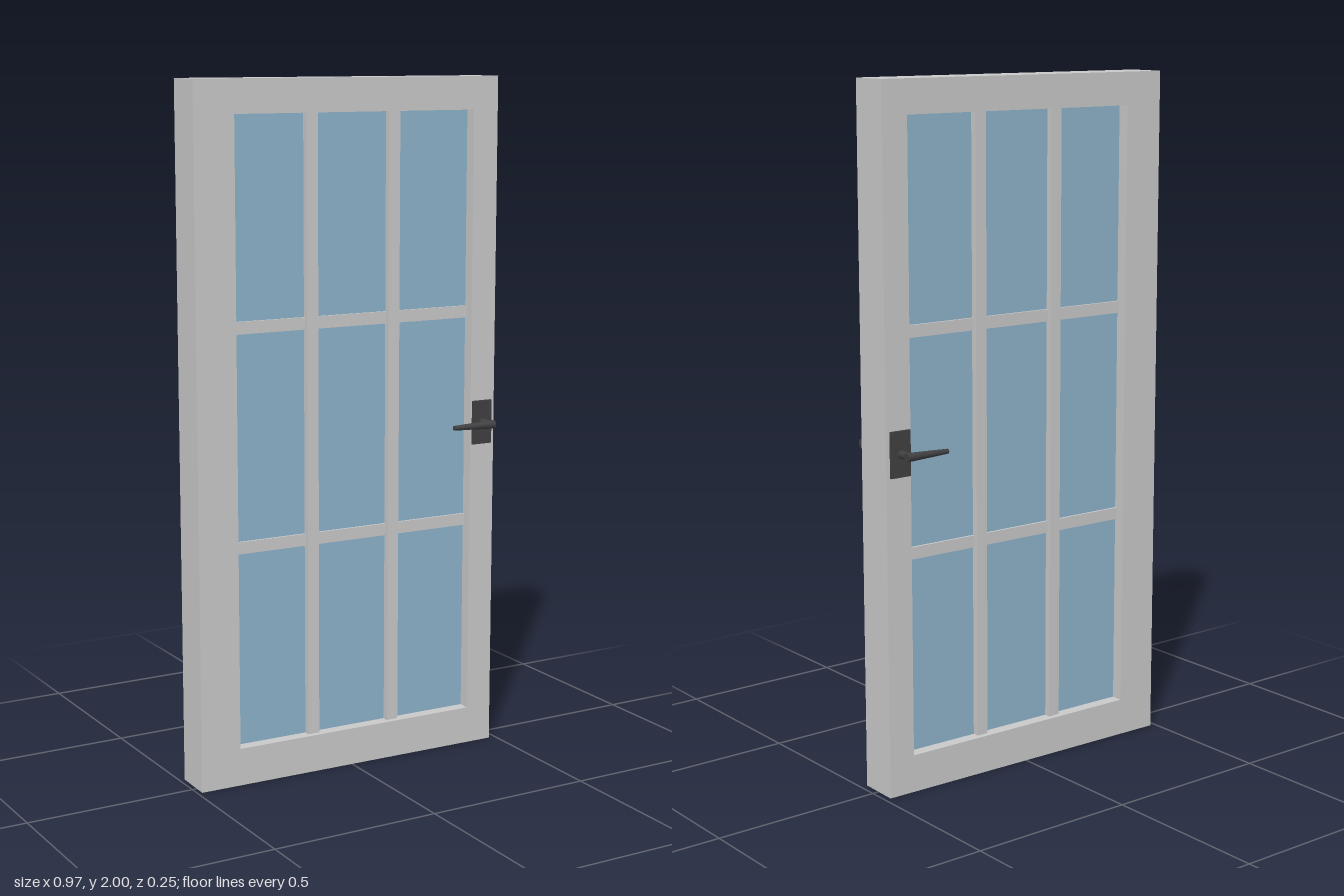
import * as THREE from 'three';

const paint = new THREE.MeshStandardMaterial({ color: 0xc8c8c8 });
paint.name = 'greyPaint';
const glassBlue = new THREE.MeshStandardMaterial({ color: 0x8db2c9 });
glassBlue.name = 'blueGlass';
const metal = new THREE.MeshStandardMaterial({ color: 0x404042 });
metal.name = 'darkMetal';

const W = 0.966, H = 2, D = 0.121;                              // door slab
const L = -0.361, R = 0.402, B = 0.11, T = 1.905;               // glazed opening

function add(parent, name, geometry, material, x = 0, y = 0, z = 0) {
  const mesh = new THREE.Mesh(geometry, material);
  mesh.name = name;
  mesh.position.set(x, y, z);
  parent.add(mesh);
  return mesh;
}

function rect(path, x0, y0, x1, y1) {
  path.moveTo(x0, y0);
  path.lineTo(x1, y0);
  path.lineTo(x1, y1);
  path.lineTo(x0, y1);
  path.closePath();
  return path;
}

// Lever handle on one face of the door: side is +1 for front, -1 for back
function makeHandle(side) {
  const handle = new THREE.Group();
  handle.name = side > 0 ? 'frontHandle' : 'backHandle';
  const x = 0.439, y = 0.99, leverZ = 0.112;
  add(handle, 'backplate', new THREE.BoxGeometry(0.064, 0.13, 0.012), metal, x, y, side * (D / 2 + 0.002));
  const neck = add(handle, 'neck', new THREE.CylinderGeometry(0.0115, 0.0115, 0.056, 16), metal, x, y, side * 0.086);
  neck.rotation.x = Math.PI / 2;
  // Tapered lever pointing towards the middle of the door
  const lever = add(handle, 'lever', new THREE.CylinderGeometry(0.007, 0.013, 0.137, 16), metal, 0.3825, y, side * leverZ);
  lever.rotation.z = Math.PI / 2;
  return handle;
}

export function createModel() {
  const model = new THREE.Group();
  model.name = 'glazedDoor';
  // The leaf stands very slightly ajar
  const leaf = new THREE.Group();
  leaf.name = 'doorLeaf';
  leaf.position.set(-0.0025, 0, -0.012);
  leaf.rotation.y = -0.0228;
  model.add(leaf);

  // Frame with the opening cut out
  const outline = rect(new THREE.Shape(), -W / 2, 0, W / 2, H);
  outline.holes.push(rect(new THREE.Path(), L, B, R, T));
  add(leaf, 'frame', new THREE.ExtrudeGeometry(outline, { depth: D, bevelEnabled: false }), paint, 0, 0, -D / 2);

  // Glass
  add(leaf, 'glass', new THREE.BoxGeometry(R - L, T - B, 0.05), glassBlue, (L + R) / 2, (B + T) / 2, 0);

  // Glazing bars
  for (const x of [-0.115, 0.149]) {
    add(leaf, 'verticalBar', new THREE.BoxGeometry(0.036, T - B, 0.088), paint, x, (B + T) / 2, 0);
  }
  for (const y of [0.692, 1.318]) {
    add(leaf, 'horizontalBar', new THREE.BoxGeometry(R - L, 0.035, 0.064), paint, (L + R) / 2, y, 0);
  }

  leaf.add(makeHandle(1), makeHandle(-1));
  return model;
}
